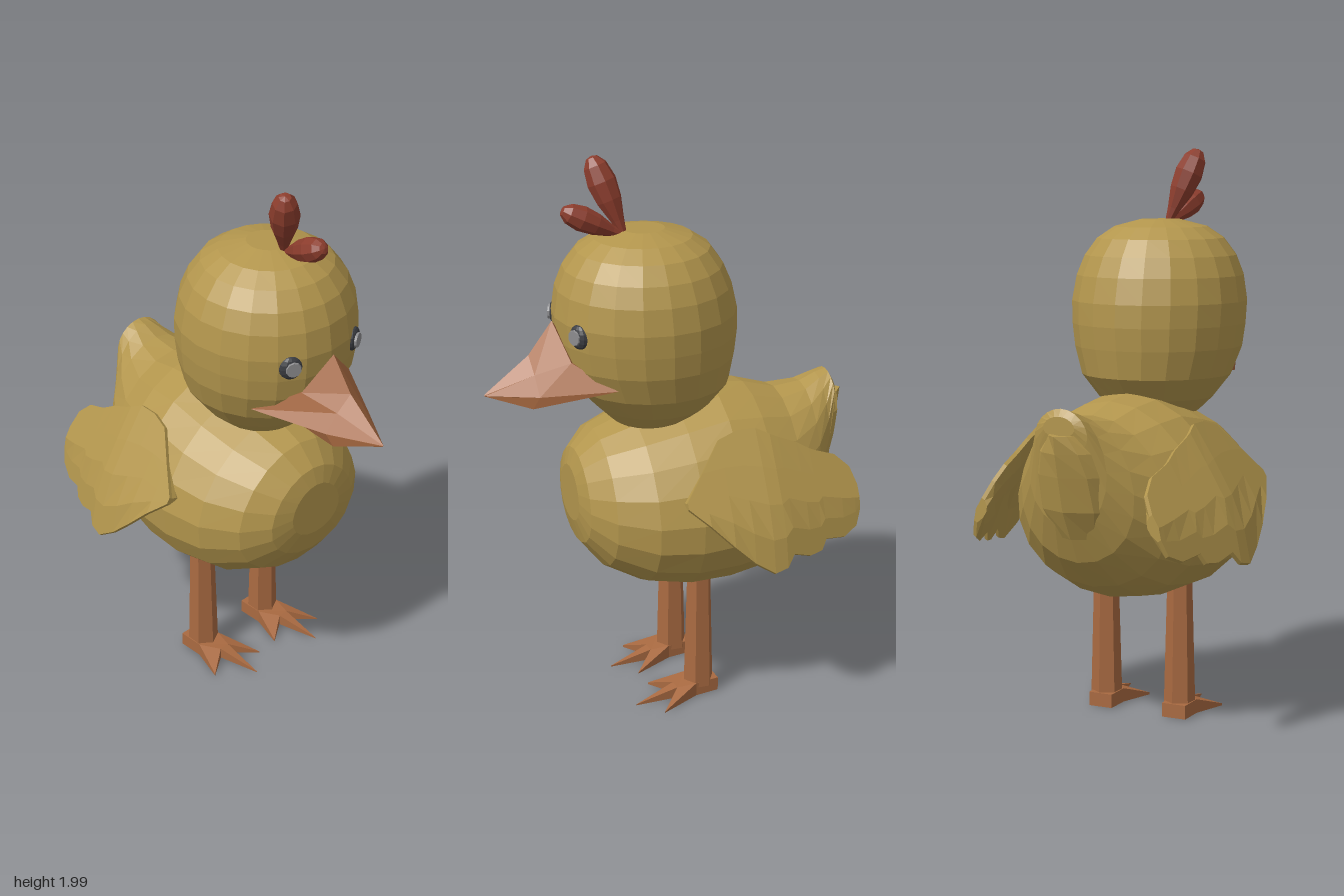
import * as THREE from 'three';

const mat = (name, color) => Object.assign(new THREE.MeshStandardMaterial({ color }), { name });

// Facetted look: every face gets its own normal
function facet(geo) {
  const g = geo.index ? geo.toNonIndexed() : geo;
  g.deleteAttribute('uv');
  g.computeVertexNormals();
  return g;
}

// Closed skin over a list of equal-length rings of [x, y, z], capped at both ends
function loft(rings) {
  const n = rings[0].length, tris = [];
  const centre = r => [0, 1, 2].map(k => r.reduce((s, p) => s + p[k], 0) / n);
  const first = rings[0], last = rings[rings.length - 1];
  const c0 = centre(first), c1 = centre(last);
  for (let j = 0; j < n; j++) {
    const k = (j + 1) % n;
    for (let i = 0; i < rings.length - 1; i++) {
      const a = rings[i], b = rings[i + 1];
      tris.push([a[j], a[k], b[k]], [a[j], b[k], b[j]]);
    }
    tris.push([c0, first[k], first[j]], [c1, last[j], last[k]]);
  }
  // Turn the skin outward if its signed volume is negative
  let vol = 0;
  for (const [a, b, c] of tris) {
    vol += a[0] * (b[1] * c[2] - b[2] * c[1]) + a[1] * (b[2] * c[0] - b[0] * c[2]) + a[2] * (b[0] * c[1] - b[1] * c[0]);
  }
  if (vol < 0) tris.forEach(t => t.reverse());
  const g = new THREE.BufferGeometry();
  g.setAttribute('position', new THREE.Float32BufferAttribute(tris.flat(2), 3));
  return facet(g);
}

const circle = (n, fn) => Array.from({ length: n }, (_, i) => fn(Math.cos(i / n * Math.PI * 2), Math.sin(i / n * Math.PI * 2)));

// Linear interpolation in a list of [key, value], keys descending
function lookup(table, key) {
  for (let i = 1; i < table.length; i++) {
    const [k0, v0] = table[i - 1], [k1, v1] = table[i];
    if (key >= k1) return v0 + (v1 - v0) * Math.min(1, Math.max(0, (k0 - key) / (k0 - k1)));
  }
  return table[table.length - 1][1];
}

export function createModel() {
  const model = new THREE.Group();
  model.name = 'duckling';
  const down = mat('yellow down', 0xb3964d);
  const horn = mat('orange horn', 0xa96a41);
  const red = mat('red crest', 0x8c3d2d);
  const dark = mat('dark eye', 0x3b3d42);
  const grey = mat('grey pupil', 0x8c8c8e);
  const add = (name, geo, material, parent = model) => {
    const m = new THREE.Mesh(geo, material);
    m.name = name;
    parent.add(m);
    return m;
  };

  // Body: egg-shaped sections from breast to tail [z, bottom, top, half width]
  const body = [
    [0.37, 0.70, 0.90, 0.11], [0.35, 0.62, 0.96, 0.19], [0.28, 0.53, 1.03, 0.28],
    [0.15, 0.46, 1.08, 0.355], [0, 0.43, 1.12, 0.385], [-0.15, 0.43, 1.15, 0.385],
    [-0.28, 0.45, 1.135, 0.36], [-0.40, 0.51, 1.10, 0.30], [-0.50, 0.61, 1.11, 0.22],
    [-0.56, 0.74, 1.135, 0.15], [-0.60, 0.98, 1.145, 0.10], [-0.615, 1.05, 1.12, 0.06],
  ];
  add('body', loft(body.map(([z, b, t, w]) => circle(20, (c, s) =>
    [0.01 + w * c * (1 - 0.1 * s), (b + t) / 2 + (t - b) / 2 * s, z]))), down);

  // Lower tail feather curling up behind the body [y, z, half width, half thickness]
  const tail = [[0.70, -0.53, 0.10, 0.03], [0.80, -0.57, 0.14, 0.04], [0.92, -0.61, 0.13, 0.03],
    [1.0, -0.64, 0.10, 0.018], [1.06, -0.658, 0.05, 0.008]];
  add('tailFeather', loft(tail.map(([y, z, w, d]) => circle(8, (c, s) =>
    [w * c, y, z + d * s + 0.05 * c * c]))), down);

  // Head: round sections from neck to crown [y, half width, front z, back z]
  const head = [
    [1.04, 0.10, 0.18, -0.02], [1.07, 0.15, 0.22, -0.07], [1.12, 0.205, 0.27, -0.14],
    [1.2, 0.265, 0.345, -0.205], [1.3, 0.298, 0.395, -0.222], [1.38, 0.308, 0.41, -0.23],
    [1.46, 0.312, 0.415, -0.228], [1.55, 0.298, 0.402, -0.208], [1.62, 0.27, 0.375, -0.178],
    [1.68, 0.225, 0.33, -0.135], [1.72, 0.165, 0.27, -0.075], [1.745, 0.07, 0.17, 0.02],
  ];
  add('head', loft(head.map(([y, w, f, b]) => circle(20, (c, s) =>
    [0.02 + w * c, y, (f + b) / 2 + (f - b) / 2 * s]))), down);

  // Beak: root, middle and tip; half outlines mirrored over the ridge
  const beakRing = half => [...half, ...half.slice(1).reverse().map(([x, y, z]) => [-x, y, z])]
    .map(([x, y, z]) => [x + 0.02, y, z]);
  add('beak', loft([
    [[0, 1.45, 0.425], [0.11, 1.33, 0.39], [0.22, 1.25, 0.26], [0.1, 1.2, 0.26]],
    [[0, 1.335, 0.51], [0.055, 1.28, 0.505], [0.10, 1.215, 0.50], [0.085, 1.17, 0.52]],
    [[0, 1.21, 0.67], [0.002, 1.209, 0.668], [0.003, 1.207, 0.667], [0.002, 1.205, 0.667]],
  ].map(beakRing)), horn);

  // Eyes: dark flattened domes with a grey disc, facing outward
  for (const side of [-1, 1]) {
    const eye = new THREE.Group();
    eye.name = side > 0 ? 'leftEye' : 'rightEye';
    eye.position.set(0.02 + side * 0.143, 1.432, 0.371);
    eye.rotation.y = side * 0.45;
    model.add(eye);
    const ball = new THREE.SphereGeometry(0.041, 12, 8).scale(1, 1.05, 0.5);
    add('eyeball', facet(ball), dark, eye);
    const pupil = add('pupil', facet(new THREE.CylinderGeometry(0.026, 0.028, 0.008, 10).rotateX(Math.PI / 2)), grey, eye);
    pupil.position.set(-side * 0.005, 0, 0.018);
  }

  // Crest: two six-sided teardrops growing from the crown
  const root = new THREE.Vector3(0.03, 1.725, 0.165);
  for (const [tip, r] of [[[-0.05, 1.99, 0.255], 0.052], [[0.01, 1.83, 0.38], 0.044]]) {
    const dir = new THREE.Vector3(...tip).sub(root), len = dir.length();
    const profile = [[0.01, 0], [0.45 * r, 0.2], [0.85 * r, 0.45], [r, 0.68], [0.8 * r, 0.88], [0.4 * r, 0.98], [0, 1]]
      .map(([x, y]) => new THREE.Vector2(x, y * len));
    const tuft = add('crestTuft', facet(new THREE.LatheGeometry(profile, 8)), red);
    tuft.position.copy(root);
    tuft.quaternion.setFromUnitVectors(new THREE.Vector3(0, 1, 0), dir.normalize());
  }

  // Wings: thin sections with a scalloped lower edge [z, top, bottom], flaring outward
  const wing = [
    [0.07, 0.88, 0.86], [0, 0.96, 0.80], [-0.08, 1.05, 0.72], [-0.15, 1.07, 0.655],
    [-0.22, 1.07, 0.61], [-0.27, 1.045, 0.62], [-0.30, 1.03, 0.66], [-0.37, 1.0, 0.635],
    [-0.42, 0.97, 0.64], [-0.44, 0.96, 0.675], [-0.52, 0.93, 0.66], [-0.575, 0.88, 0.685],
    [-0.595, 0.82, 0.74],
  ];
  const flare = [[1.07, 0.285], [0.98, 0.345], [0.88, 0.405], [0.78, 0.465], [0.61, 0.50]];
  for (const side of [-1, 1]) {
    const rings = wing.map(([z, top, bottom]) => {
      const outer = [], inner = [];
      for (let i = 0; i <= 4; i++) {
        const y = top + (bottom - top) * i / 4;
        const x = lookup(flare, y) - 0.32 * Math.max(0, -z - 0.25);
        const thick = 0.012 + 0.03 * Math.sin(Math.PI * i / 4);
        outer.push([side * x, y, z]);
        inner.unshift([side * (x - thick), y - 0.008, z]);
      }
      return [...outer, ...inner];
    });
    add(side > 0 ? 'leftWing' : 'rightWing', loft(rings), down);
  }

  // Legs: six-sided shanks on flat three-toed feet that thin toward the toes
  const toes = [[-0.055, -0.125], [0.035, -0.13], [0.05, -0.04], [0.13, 0.11], [0.04, 0.03],
    [0.045, 0.19], [0, 0.035], [-0.085, 0.10], [-0.05, -0.03]];
  for (const side of [-1, 1]) {
    const leg = new THREE.Group();
    leg.name = side > 0 ? 'leftLeg' : 'rightLeg';
    leg.position.x = 0.003 + side * 0.15;
    model.add(leg);
    const shank = add('shank', facet(new THREE.CylinderGeometry(0.044, 0.056, 0.46, 6)), horn, leg);
    shank.position.set(0, 0.26, -0.065);
    const outline = new THREE.Shape(toes.map(([x, z]) => new THREE.Vector2(x, -z)));
    const foot = new THREE.ExtrudeGeometry(outline, { depth: 1, bevelEnabled: false }).rotateX(-Math.PI / 2);
    const p = foot.attributes.position;
    for (let i = 0; i < p.count; i++) {
      const d = Math.hypot(p.getX(i), p.getZ(i) + 0.065);
      p.setY(i, p.getY(i) * THREE.MathUtils.clamp(0.05 - 0.4 * (d - 0.08), 0.004, 0.05));
    }
    add('foot', facet(foot), horn, leg);
  }
  return model;
}
